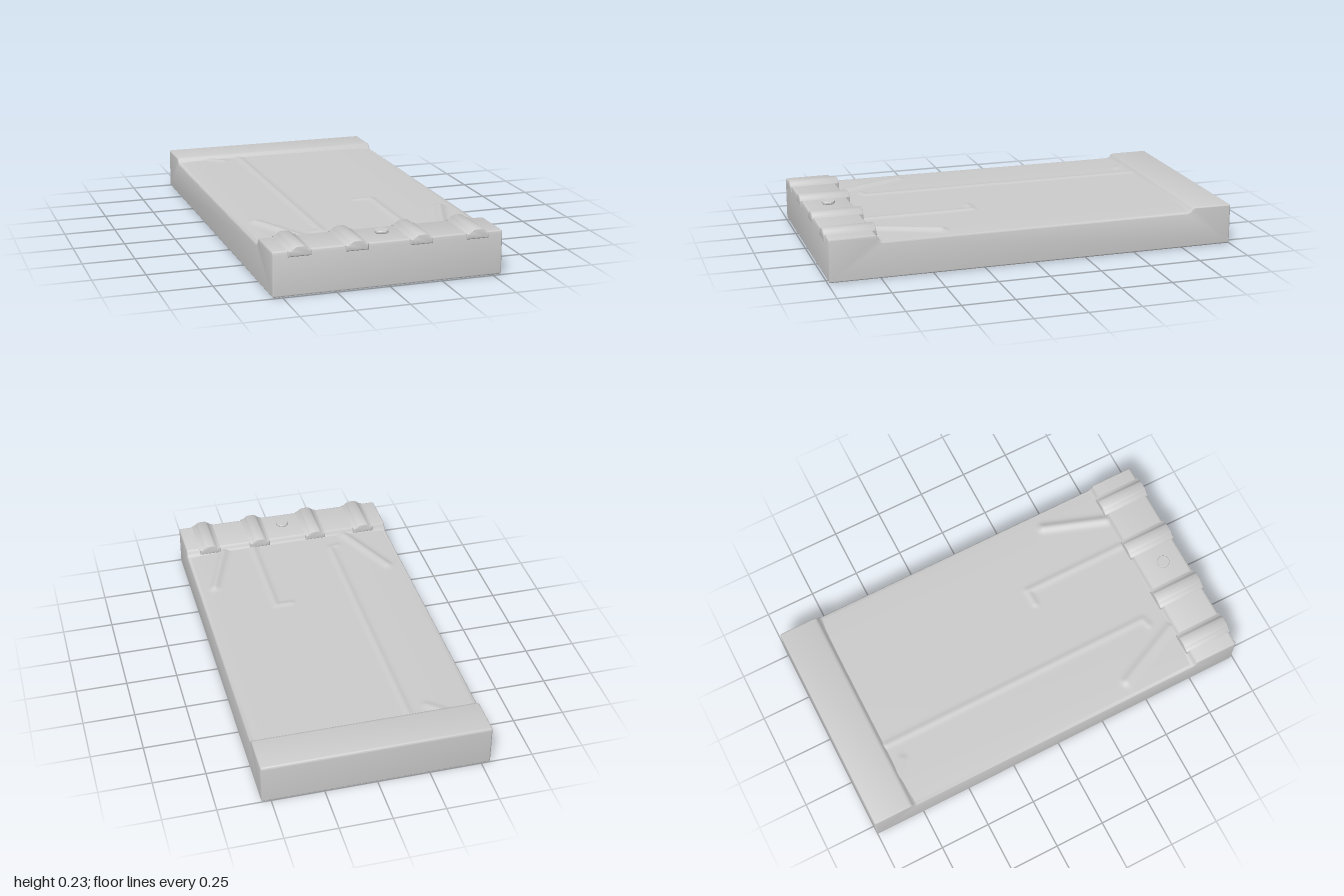
import * as THREE from 'three';
import { toCreasedNormals } from 'three/addons/utils/BufferGeometryUtils.js';

const HALF_W = 0.545;
const material = new THREE.MeshStandardMaterial({ color: 0xcccccc });
const sheetMaterial = new THREE.MeshStandardMaterial({ color: 0xcccccc, side: THREE.DoubleSide });

function add(group, name, geometry, mat = material) {
  const mesh = new THREE.Mesh(geometry, mat);
  mesh.name = name;
  group.add(mesh);
  return mesh;
}

// Side profile (z, y) of the slab with raised front and back bands, extruded across the width
function slabGeometry() {
  const s = new THREE.Shape();
  s.moveTo(-0.99, 0.004);
  s.lineTo(0.985, 0.004);
  s.quadraticCurveTo(0.992, 0.004, 0.992, 0.012);
  s.lineTo(0.992, 0.2);
  s.quadraticCurveTo(0.992, 0.214, 0.978, 0.214);
  s.lineTo(0.775, 0.214);
  s.bezierCurveTo(0.76, 0.212, 0.765, 0.184, 0.74, 0.18);
  s.lineTo(-0.775, 0.18);
  s.bezierCurveTo(-0.795, 0.182, -0.79, 0.203, -0.815, 0.204);
  s.lineTo(-0.985, 0.204);
  s.quadraticCurveTo(-1, 0.204, -1, 0.19);
  s.lineTo(-1, 0.012);
  s.quadraticCurveTo(-1, 0.004, -0.99, 0.004);
  const bevel = 0.008;
  const g = new THREE.ExtrudeGeometry(s, {
    depth: 2 * (HALF_W - bevel), curveSegments: 6,
    bevelSize: bevel, bevelThickness: bevel, bevelOffset: -bevel, bevelSegments: 3,
  });
  g.translate(0, 0, -(HALF_W - bevel));
  g.rotateY(-Math.PI / 2);
  return toCreasedNormals(g, 0.6);
}

// Folds on the deck: start x, z, end x, z, height, half width
const FOLDS = [
  [-0.21, -0.78, -0.21, 0.64, 0.006, 0.016],
  [-0.21, 0.65, -0.25, 0.66, 0.005, 0.016],
  [0.19, 0.21, 0.19, 0.76, 0.007, 0.016],
  [0.11, 0.21, 0.19, 0.21, 0.006, 0.015],
  [-0.46, 0.42, -0.31, 0.75, 0.011, 0.022],
  [0.46, 0.44, 0.35, 0.75, 0.014, 0.022],
  [-0.38, -0.8, -0.31, -0.74, 0.006, 0.02],
];

function foldHeight(x, z) {
  let h = 0;
  for (const [x0, z0, x1, z1, height, width] of FOLDS) {
    const dx = x1 - x0, dz = z1 - z0;
    const t = THREE.MathUtils.clamp(((x - x0) * dx + (z - z0) * dz) / (dx * dx + dz * dz), 0, 1);
    const d = Math.hypot(x - x0 - t * dx, z - z0 - t * dz) / width;
    h = Math.max(h, height * Math.exp(-d * d));
  }
  return h;
}

// Gently crowned cover over the sunken deck
function coverGeometry() {
  const g = new THREE.PlaneGeometry(2 * HALF_W - 0.02, 1.57, 130, 180);
  g.rotateX(-Math.PI / 2);
  g.translate(0, 0, -0.015);
  const p = g.attributes.position;
  for (let i = 0; i < p.count; i++) {
    const x = p.getX(i), z = p.getZ(i);
    const crown = 0.006 * (1 - Math.pow(Math.abs(x) / (HALF_W - 0.01), 6));
    p.setY(i, 0.1795 + crown + foldHeight(x, z));
  }
  g.computeVertexNormals();
  return g;
}

// Bell-shaped strap lying across the front band, its foot sunk into the band
function strapGeometry() {
  const s = new THREE.Shape();
  s.moveTo(-0.055, 0.185);
  s.lineTo(-0.055, 0.214);
  s.bezierCurveTo(-0.032, 0.215, -0.032, 0.234, -0.012, 0.234);
  s.lineTo(0.012, 0.234);
  s.bezierCurveTo(0.032, 0.234, 0.032, 0.215, 0.055, 0.214);
  s.lineTo(0.055, 0.185);
  const g = new THREE.ExtrudeGeometry(s, {
    depth: 0.232, curveSegments: 8,
    bevelSize: 0.006, bevelThickness: 0.008, bevelOffset: -0.006, bevelSegments: 3,
  });
  g.translate(0, 0, 0.758);
  return toCreasedNormals(g, 0.7);
}

export function createModel() {
  const model = new THREE.Group();
  model.name = 'slab';
  add(model, 'slabBody', slabGeometry());
  add(model, 'deckCover', coverGeometry(), sheetMaterial);

  const strap = strapGeometry();
  for (const x of [-0.42, -0.155, 0.15, 0.42]) add(model, 'frontStrap', strap).position.x = x;

  // Round button hovering just above the front band
  const r = 0.032;
  const profile = [[0, 0.222], [r - 0.003, 0.222], [r, 0.225], [r, 0.232], [r - 0.003, 0.236], [0, 0.236]]
    .map(([x, y]) => new THREE.Vector2(x, y));
  const button = add(model, 'frontButton', toCreasedNormals(new THREE.LatheGeometry(profile, 32), 0.6));
  button.position.z = 0.88;
  return model;
}
